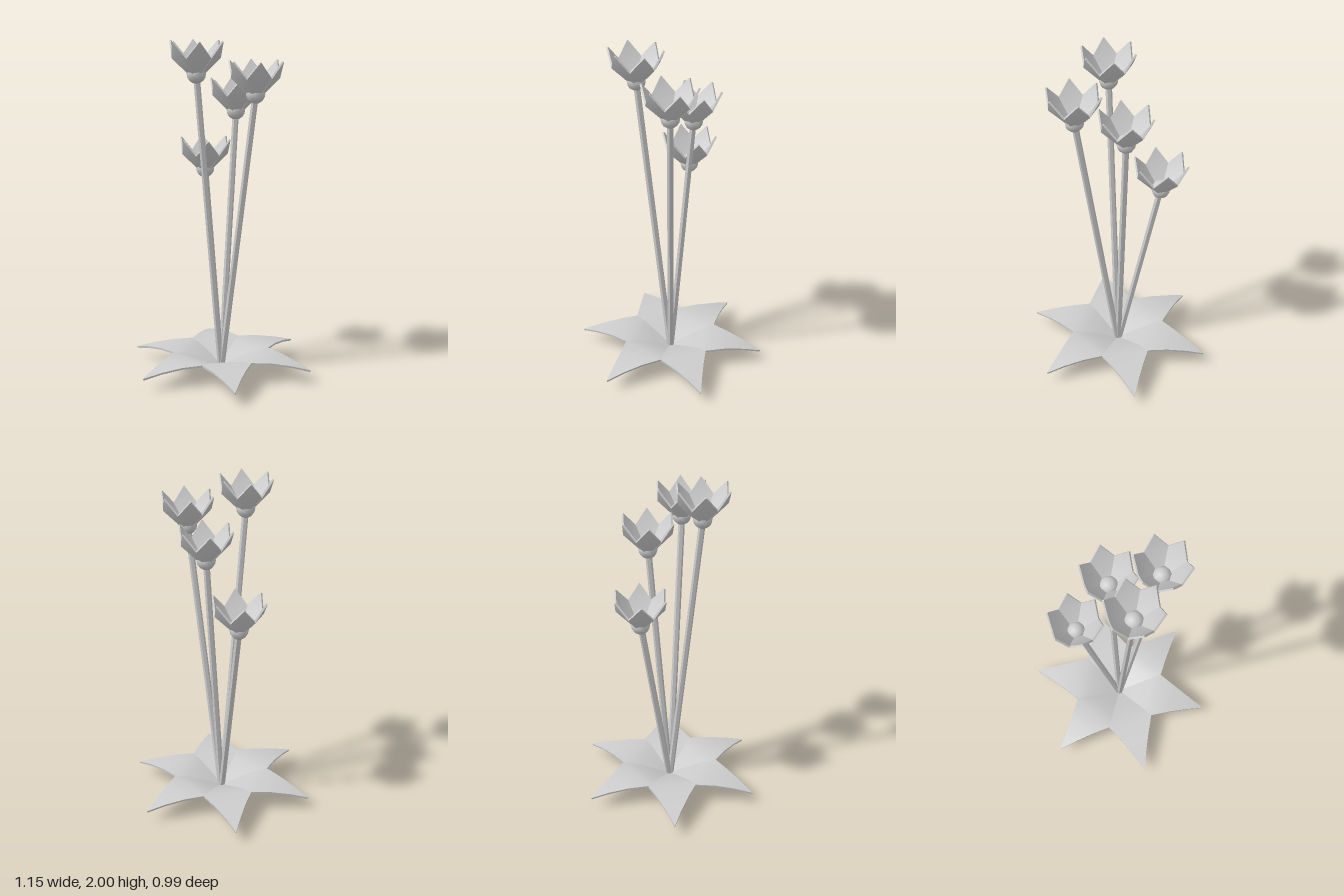
import * as THREE from 'three';
import { toCreasedNormals } from 'three/addons/utils/BufferGeometryUtils.js';

const plantGrey = new THREE.MeshStandardMaterial({ color: 0xcccccc });
plantGrey.name = 'plantGrey';

// Thin bent blade running along +x; each row is [distance, height, half width]
function blade(rows, thickness) {
  const positions = [];
  const rings = rows.map(([s, y, w], i) => {
    const before = rows[Math.max(i - 1, 0)];
    const after = rows[Math.min(i + 1, rows.length - 1)];
    const n = new THREE.Vector2(before[1] - after[1], after[0] - before[0]).setLength(thickness);
    return [
      [s + n.x, y + n.y, -w], [s + n.x, y + n.y, w],
      [s, y, w], [s, y, -w],
    ];
  });
  const quad = (a, b, c, d) => positions.push(...a, ...b, ...c, ...a, ...c, ...d);
  for (let i = 0; i < rings.length - 1; i++) {
    for (let j = 0; j < 4; j++) {
      const k = (j + 1) % 4;
      quad(rings[i][j], rings[i][k], rings[i + 1][k], rings[i + 1][j]);
    }
  }
  quad(...[...rings[0]].reverse());
  quad(...rings[rings.length - 1]);
  const geometry = new THREE.BufferGeometry();
  geometry.setAttribute('position', new THREE.Float32BufferAttribute(positions, 3));
  return toCreasedNormals(geometry, 0.3);
}

// Six copies of a blade around the y axis
function whorl(geometry, name) {
  const group = new THREE.Group();
  for (let i = 0; i < 6; i++) {
    const mesh = new THREE.Mesh(geometry, plantGrey);
    mesh.name = name;
    mesh.rotation.y = (i * Math.PI) / 3;
    group.add(mesh);
  }
  return group;
}

export function createModel() {
  const model = new THREE.Group();
  model.name = 'floweringPlant';

  // Arched leaves forming a star at the base
  const leaf = blade([
    [0, 0.025, 0.012], [0.1, 0.07, 0.064], [0.19, 0.105, 0.116], [0.253, 0.117, 0.146],
    [0.36, 0.111, 0.093], [0.47, 0.092, 0.043], [0.57, 0.066, 0.001],
  ], 0.011);
  const leaves = whorl(leaf, 'leaf');
  leaves.name = 'leaves';
  model.add(leaves);

  // Flowers, each on a straight stem leaning out from the origin
  const petal = blade([[0.03, -0.012, 0.02], [0.121, 0.09, 0.071], [0.166, 0.183, 0.002]], 0.011);
  const heart = new THREE.SphereGeometry(0.055, 10, 8);
  const root = new THREE.Vector3(0, 0.003, 0);
  const up = new THREE.Vector3(0, 1, 0);
  const flowers = [
    [-0.193, 1.815, 0.02], [0.05, 1.705, 0.252], [0.128, 1.585, -0.022], [0.064, 1.215, -0.24],
  ];
  for (const place of flowers) {
    const top = new THREE.Vector3(...place);
    const along = top.clone().sub(root);
    const stem = new THREE.Mesh(
      toCreasedNormals(new THREE.CylinderGeometry(0.019, 0.019, along.length(), 6), 0.3), plantGrey);
    stem.name = 'stem';
    stem.position.copy(root).addScaledVector(along, 0.5);
    stem.quaternion.setFromUnitVectors(up, along.normalize());
    model.add(stem);

    const flower = whorl(petal, 'petal');
    flower.name = 'flower';
    flower.position.copy(top);
    const centre = new THREE.Mesh(heart, plantGrey);
    centre.name = 'flowerCentre';
    flower.add(centre);
    model.add(flower);
  }
  return model;
}
